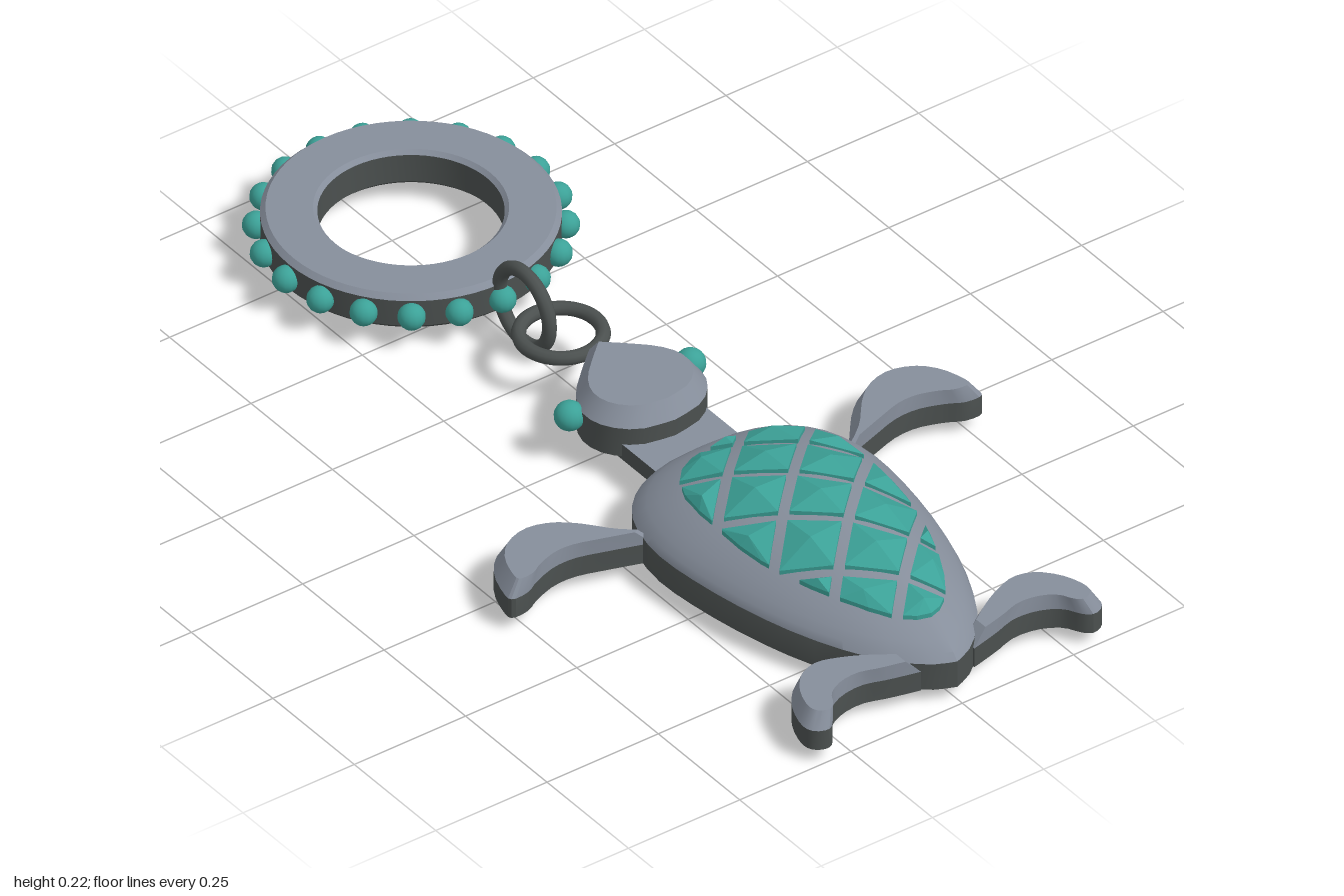
import * as THREE from 'three';
import { toCreasedNormals } from 'three/addons/utils/BufferGeometryUtils.js';

function material(name, color) {
  const m = new THREE.MeshStandardMaterial({ color });
  m.name = name;
  return m;
}
const metal = material('grey metal', 0x868e9b);
const dark = material('dark metal', 0x4b504f);
const teal = material('teal stone', 0x3ca298);

const V = (p) => new THREE.Vector2(p[0], p[1]);

// Smooth curve through [x, z] points
const smooth = (pts, n) => new THREE.SplineCurve(pts.map(V)).getPoints(n);

// Closed symmetrical outline from its +x half, front to back
function symmetric(half, n) {
  const right = smooth(half, n);
  const left = right.slice(1, -1).reverse().map((p) => new THREE.Vector2(-p.x, p.y));
  return right.concat(left);
}

// Outlines wound so that side walls face outwards
const wind = (o) => (THREE.ShapeUtils.isClockWise(o) ? o : o.slice().reverse());

function fromPositions(pos) {
  const g = new THREE.BufferGeometry();
  g.setAttribute('position', new THREE.Float32BufferAttribute(pos, 3));
  g.computeVertexNormals();
  return g;
}

// Stack of scaled outlines, rings = [scale, y] from bottom to top, capped at both ends.
// Group 0 is the underside and lowest wall, group 1 everything above.
function loft(outline, centre, rings, crease) {
  const o = wind(outline), n = o.length, pos = [];
  const at = (i, [s, y]) => [centre[0] + (o[i % n].x - centre[0]) * s, y, centre[1] + (o[i % n].y - centre[1]) * s];
  const caps = THREE.ShapeUtils.triangulateShape(o, []);
  const top = rings[rings.length - 1];
  for (const [a, b, c] of caps) pos.push(...at(a, rings[0]), ...at(b, rings[0]), ...at(c, rings[0]));
  for (let r = 0; r < rings.length - 1; r++) {
    for (let i = 0; i < n; i++) {
      const a = at(i, rings[r]), b = at(i + 1, rings[r]), c = at(i + 1, rings[r + 1]), d = at(i, rings[r + 1]);
      pos.push(...a, ...b, ...c, ...a, ...c, ...d);
    }
  }
  for (const [a, b, c] of caps) pos.push(...at(a, top), ...at(c, top), ...at(b, top));
  const g = toCreasedNormals(fromPositions(pos), crease);
  const split = caps.length * 3 + n * 6;
  g.addGroup(0, split, 0);
  g.addGroup(split, pos.length / 3 - split, 1);
  return g;
}

// Shell outline and dome height
const shellCentre = [0, 0.55];
const shellOutline = symmetric([[0, 0.185], [0.09, 0.192], [0.165, 0.225], [0.22, 0.29], [0.245, 0.39], [0.24, 0.5],
  [0.215, 0.64], [0.175, 0.77], [0.115, 0.89], [0.05, 0.96], [0, 0.985]], 24);
const domeY = (t) => 0.085 + 0.12 * Math.pow(Math.max(0, 1 - t * t), 0.75);

function domeAt(x, z) {
  const n = shellOutline.length, pz = z - shellCentre[1];
  for (let i = 0; i < n; i++) {
    const a = shellOutline[i], b = shellOutline[(i + 1) % n];
    const az = a.y - shellCentre[1], bz = b.y - shellCentre[1];
    const det = a.x * bz - az * b.x;
    const u = (x * bz - pz * b.x) / det, v = (a.x * pz - az * x) / det;
    if (u >= -1e-6 && v >= -1e-6) return domeY(u + v);
  }
  return domeY(0);
}

// Keep the part of a polygon where f(p) <= 0
function clip(poly, f) {
  const out = [];
  poly.forEach((a, i) => {
    const b = poly[(i + 1) % poly.length], fa = f(a), fb = f(b);
    if (fa <= 0) out.push(a);
    if ((fa <= 0) !== (fb <= 0)) out.push(a.clone().lerp(b, fa / (fa - fb)));
  });
  return out;
}

// Faceted stones: a diagonal lattice trimmed to an oval and laid on the dome
function stones() {
  const field = symmetric([[0, 0.265], [0.07, 0.272], [0.13, 0.31], [0.165, 0.385], [0.172, 0.5], [0.165, 0.6],
    [0.14, 0.7], [0.1, 0.8], [0.05, 0.88], [0, 0.905]], 16);
  const step = 0.085, reach = 0.07, pos = [];
  for (let k = -1; k <= 8; k++) for (let m = -2; m <= 2; m++) {
    if ((k + m) % 2 === 0) continue;
    const cx = m * step, cz = 0.31 + k * step;
    let poly = field;
    for (const sx of [-1, 1]) for (const sz of [-1, 1]) {
      poly = clip(poly, (p) => sx * (p.x - cx) + sz * (p.y - cz) - reach);
    }
    if (poly.length < 3 || Math.abs(THREE.ShapeUtils.area(poly)) < 1e-4) continue;
    poly = wind(poly);
    const mid = poly.reduce((s, p) => s.add(p), new THREE.Vector2()).divideScalar(poly.length);
    const whole = Math.abs(THREE.ShapeUtils.area(poly)) > reach * reach * 1.7;
    if (whole) mid.set(cx, cz);
    const apex = [mid.x, domeAt(mid.x, mid.y) + 0.02, mid.y];
    const at = (p, h) => [p.x, domeAt(p.x, p.y) + h, p.y];
    poly.forEach((p, i) => {
      const q = poly[(i + 1) % poly.length];
      const a = at(p, -0.012), b = at(q, -0.012), c = at(q, 0.009), d = at(p, 0.009);
      pos.push(...a, ...b, ...c, ...a, ...c, ...d, ...d, ...c, ...apex);
    });
  }
  return fromPositions(pos);
}

export function createModel() {
  const model = new THREE.Group();
  model.name = 'turtlePendant';
  const add = (name, geo, mat, x = 0, y = 0, z = 0) => {
    const mesh = new THREE.Mesh(geo, mat);
    mesh.name = name;
    mesh.position.set(x, y, z);
    model.add(mesh);
    return mesh;
  };
  const cast = [dark, metal];

  // Shell
  const rings = [[1, 0.028]];
  for (const t of [1, 0.97, 0.92, 0.85, 0.75, 0.62, 0.48, 0.32, 0.16, 0.04]) rings.push([t, domeY(t)]);
  add('shell', loft(shellOutline, shellCentre, rings, 0.5), cast);
  add('shellStones', stones(), teal);

  // Flippers, chamfered mostly along the leading edge
  const front = [[0.21, 0.345], [0.25, 0.31], [0.3, 0.25], [0.35, 0.21], [0.41, 0.195], [0.47, 0.215], [0.51, 0.26],
    [0.53, 0.32], [0.525, 0.34], [0.49, 0.338], [0.46, 0.322], [0.41, 0.305], [0.36, 0.305], [0.3, 0.323], [0.22, 0.35]];
  const rear = [[0.06, 0.92], [0.12, 0.88], [0.17, 0.855], [0.22, 0.84], [0.27, 0.855], [0.31, 0.9], [0.33, 0.955],
    [0.325, 0.985], [0.3, 0.998], [0.28, 0.985], [0.26, 0.952], [0.22, 0.93], [0.17, 0.925], [0.12, 0.94], [0.06, 0.955]];
  const flipperRings = [[1, 0.028], [1, 0.07], [0.82, 0.102]];
  for (const [side, s] of [['left', 1], ['right', -1]]) {
    for (const [name, pts, c] of [['FrontFlipper', front, [0.4, 0.295]], ['RearFlipper', rear, [0.225, 0.92]]]) {
      const outline = smooth(pts.map(([x, z]) => [x * s, z]), 36);
      add(side + name, loft(outline, [c[0] * s, c[1]], flipperRings, 0.4), cast);
    }
  }

  // Neck, head and eyes
  add('neck', new THREE.BoxGeometry(0.19, 0.034, 0.2), [dark, dark, metal, dark, dark, dark], 0, 0.063, 0.14);
  const head = symmetric([[0, -0.145], [0.045, -0.105], [0.1, -0.05], [0.125, 0.005], [0.115, 0.06], [0.07, 0.105], [0, 0.12]], 14);
  add('head', loft(head, [0, 0], [[1, 0.053], [1, 0.115], [0.8, 0.15]], 0.5), cast);
  for (const [name, s] of [['leftEye', 1], ['rightEye', -1]]) {
    add(name, new THREE.SphereGeometry(0.029, 16, 12), teal, s * 0.136, 0.1, -0.02);
  }

  // Chain links
  const link = new THREE.TorusGeometry(0.077, 0.014, 10, 40);
  add('flatLink', link, dark, 0, 0.1, -0.232).rotation.x = Math.PI / 2;
  add('uprightLink', link, dark, 0, 0.091, -0.344).rotation.y = Math.PI / 2;

  // Key ring: dark body, lighter top face, beads around the rim
  const lathe = (pts) => toCreasedNormals(new THREE.LatheGeometry(pts.map(V), 64), 0.4);
  add('keyRingBody', lathe([[0.17, 0.102], [0.17, 0.043], [0.178, 0.035], [0.264, 0.035], [0.274, 0.045], [0.274, 0.1]]),
    dark, 0, 0, -0.692);
  add('keyRingTop', lathe([[0.274, 0.1], [0.264, 0.11], [0.178, 0.11], [0.17, 0.102]]), metal, 0, 0, -0.692);
  const bead = new THREE.SphereGeometry(0.026, 14, 10);
  for (let i = 0; i < 20; i++) {
    const a = (i / 20) * Math.PI * 2;
    add('ringBead', bead, teal, Math.sin(a) * 0.281, 0.071, -0.692 + Math.cos(a) * 0.281);
  }
  return model;
}
